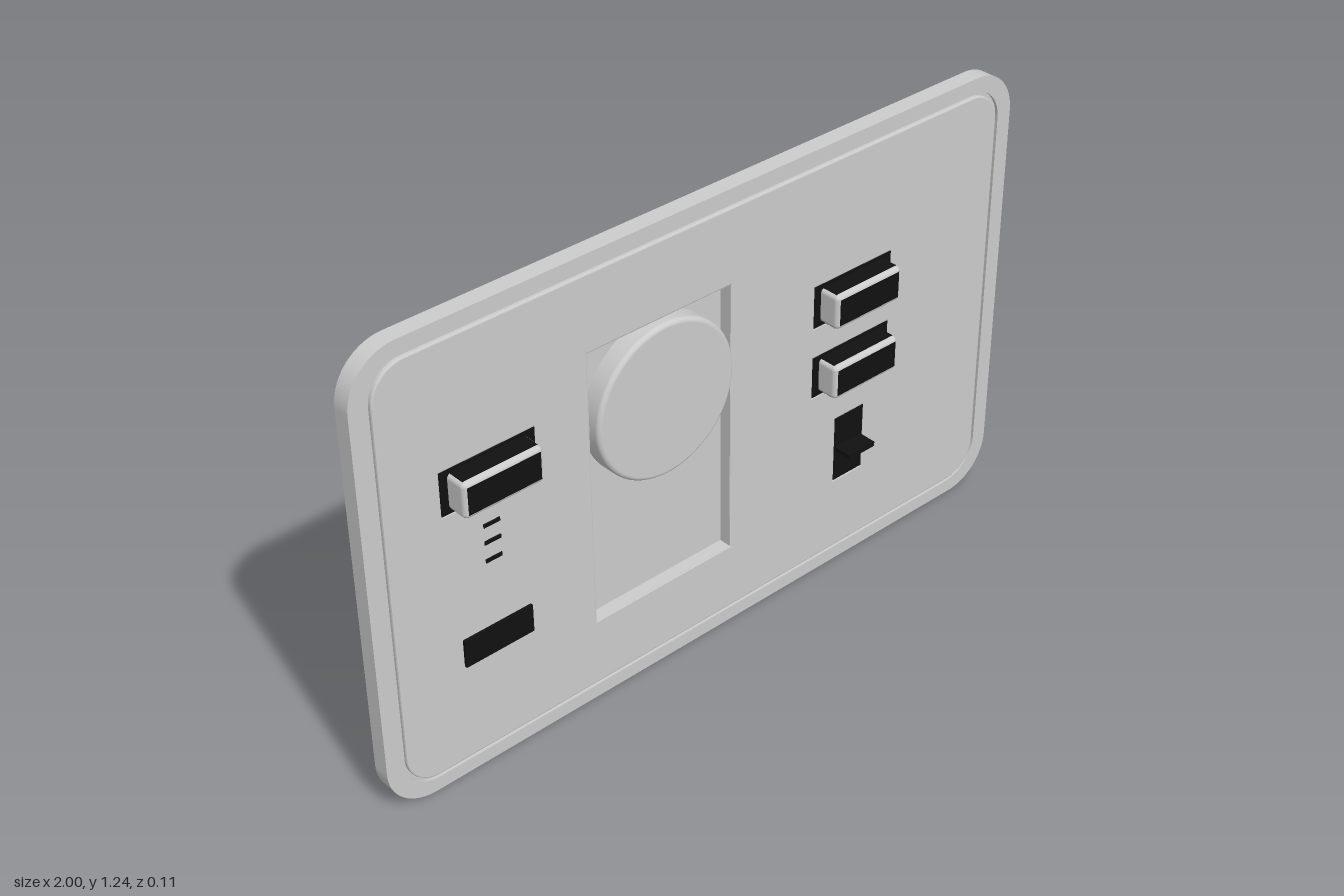
import * as THREE from 'three';
import { RoundedBoxGeometry } from 'three/addons/geometries/RoundedBoxGeometry.js';

const grey = new THREE.MeshStandardMaterial({ color: 0xcccccc });
const black = new THREE.MeshStandardMaterial({ color: 0x111111 });

// Rounded rectangle outline, centred on cx, cy
function outline(Type, cx, cy, w, h, r) {
  const p = new Type(), x = w / 2, y = h / 2;
  if (r === 0) {
    p.moveTo(cx - x, cy - y);
    p.lineTo(cx + x, cy - y);
    p.lineTo(cx + x, cy + y);
    p.lineTo(cx - x, cy + y);
  } else {
    p.absarc(cx + x - r, cy + y - r, r, 0, Math.PI / 2);
    p.absarc(cx - x + r, cy + y - r, r, Math.PI / 2, Math.PI);
    p.absarc(cx - x + r, cy - y + r, r, Math.PI, Math.PI * 1.5);
    p.absarc(cx + x - r, cy - y + r, r, Math.PI * 1.5, Math.PI * 2);
  }
  p.closePath();
  return p;
}

export function createModel() {
  const group = new THREE.Group();
  const CY = 0.62;

  function add(name, geometry, material = grey, parent = group) {
    const mesh = new THREE.Mesh(geometry, material);
    mesh.name = name;
    parent.add(mesh);
    return mesh;
  }

  // Slab between z0 and z1, with optional holes and a softened front edge
  function slab(name, shape, holes, z0, z1, material = grey, bevel = 0, parent = group) {
    shape.holes.push(...holes);
    const geometry = new THREE.ExtrudeGeometry(shape, {
      depth: z1 - z0 - 2 * bevel, curveSegments: 12, bevelEnabled: bevel > 0,
      bevelSize: bevel, bevelThickness: bevel, bevelOffset: -bevel, bevelSegments: 2,
    });
    geometry.translate(0, 0, z0 + bevel);
    return add(name, geometry, material, parent);
  }

  function box(name, x, y, w, h, z0, z1, material = grey, parent = group) {
    const mesh = add(name, new THREE.BoxGeometry(w, h, z1 - z0), material, parent);
    mesh.position.set(x, y, (z0 + z1) / 2);
    return mesh;
  }

  const S = THREE.Shape, P = THREE.Path;
  const pocket = [-0.165, 0.613, 0.43, 0.755];
  const slot = [0.46, 0.355, 0.1, 0.19];
  const buttons = [[-0.665, 0.812], [0.455, 0.812], [0.455, 0.61]];

  // Outer frame, and the skirt that joins it to the panel
  slab('frame', outline(S, 0, CY, 2, 1.24, 0.13),
    [outline(P, 0, CY, 1.91, 1.165, 0.1)], -0.052, -0.006);
  slab('skirt', outline(S, 0, CY, 1.93, 1.18, 0.1),
    [outline(P, 0, CY, 1.86, 1.11, 0.07)], -0.035, -0.014);

  // Face panel with its openings
  slab('facePanel', outline(S, 0, CY, 1.89, 1.145, 0.09), [
    outline(P, ...pocket, 0),
    outline(P, ...slot, 0),
    ...buttons.map(([x, y]) => outline(P, x, y, 0.26, 0.115, 0)),
  ], -0.018, -0.003, grey, 0.004);

  // Triangular gussets in the back corners
  for (const sx of [-1, 1]) for (const sy of [-1, 1]) {
    const x = sx * 0.935, y = CY + sy * 0.56;
    const corner = new S([
      new THREE.Vector2(x - sx * 0.03, y),
      new THREE.Vector2(x - sx * 0.12, y),
      new THREE.Vector2(x, y - sy * 0.12),
      new THREE.Vector2(x, y - sy * 0.03),
    ]);
    slab('cornerGusset', corner, [], -0.034, -0.018);
  }

  // Open tray behind an opening
  function tray(name, [x, y, w, h], floor, back) {
    const t = 0.004;
    slab(name + 'Walls', outline(S, x, y, w + t, h + t, 0),
      [outline(P, x, y, w, h, 0)], back, -0.005);
    box(name + 'Floor', x, y, w, h, back, floor);
  }
  tray('dialPocket', pocket, -0.038, -0.044);
  tray('sliderSlot', slot, -0.044, -0.05);

  // Dial with a rounded front rim
  const R = 0.207, r = 0.012, front = 0.018, depth = 0.056;
  const profile = [new THREE.Vector2(R, 0)];
  for (let i = 0; i <= 6; i++) {
    const a = (i / 6) * Math.PI / 2;
    profile.push(new THREE.Vector2(R - r + r * Math.cos(a), depth - r + r * Math.sin(a)));
  }
  profile.push(new THREE.Vector2(0, depth));
  const dial = add('dial', new THREE.LatheGeometry(profile, 64));
  dial.rotation.x = Math.PI / 2;
  dial.position.set(-0.165, 0.78, front - depth);

  // Push buttons: dark bezel, rounded body, dark faces
  for (const [x, y] of buttons) {
    const button = new THREE.Group();
    button.name = 'pushButton';
    group.add(button);
    slab('bezel', outline(S, x, y, 0.26, 0.115, 0),
      [outline(P, x, y, 0.236, 0.092, 0)], -0.022, -0.003, black, 0, button);
    box('bezelPlate', x, y, 0.236, 0.092, -0.008, -0.003, black, button);
    box('bezelBack', x, y, 0.236, 0.092, -0.019, -0.009, grey, button);
    const body = add('buttonBody', new RoundedBoxGeometry(0.22, 0.095, 0.068, 3, 0.013), grey, button);
    body.position.set(x, y, 0.021);
    box('buttonFace', x, y, 0.2, 0.072, 0.05, 0.0555, black, button);
    for (const s of [-1, 1]) {
      box('buttonGrip', x, y + s * 0.0455, 0.204, 0.005, -0.004, 0.042, black, button);
    }
  }

  // Slider plate and its thin lever
  box('sliderPlate', ...slot, -0.012, -0.004, black);
  box('sliderLever', 0.46, 0.355, 0.09, 0.013, -0.01, 0.046, black);

  // Indicator marks and the small display bar
  for (const y of [0.58, 0.63, 0.677]) {
    box('indicatorMark', -0.667, y, 0.045, 0.01, -0.017, 0, black);
  }
  box('displayBar', -0.67, 0.358, 0.195, 0.076, -0.017, 0.005, black);

  return group;
}
